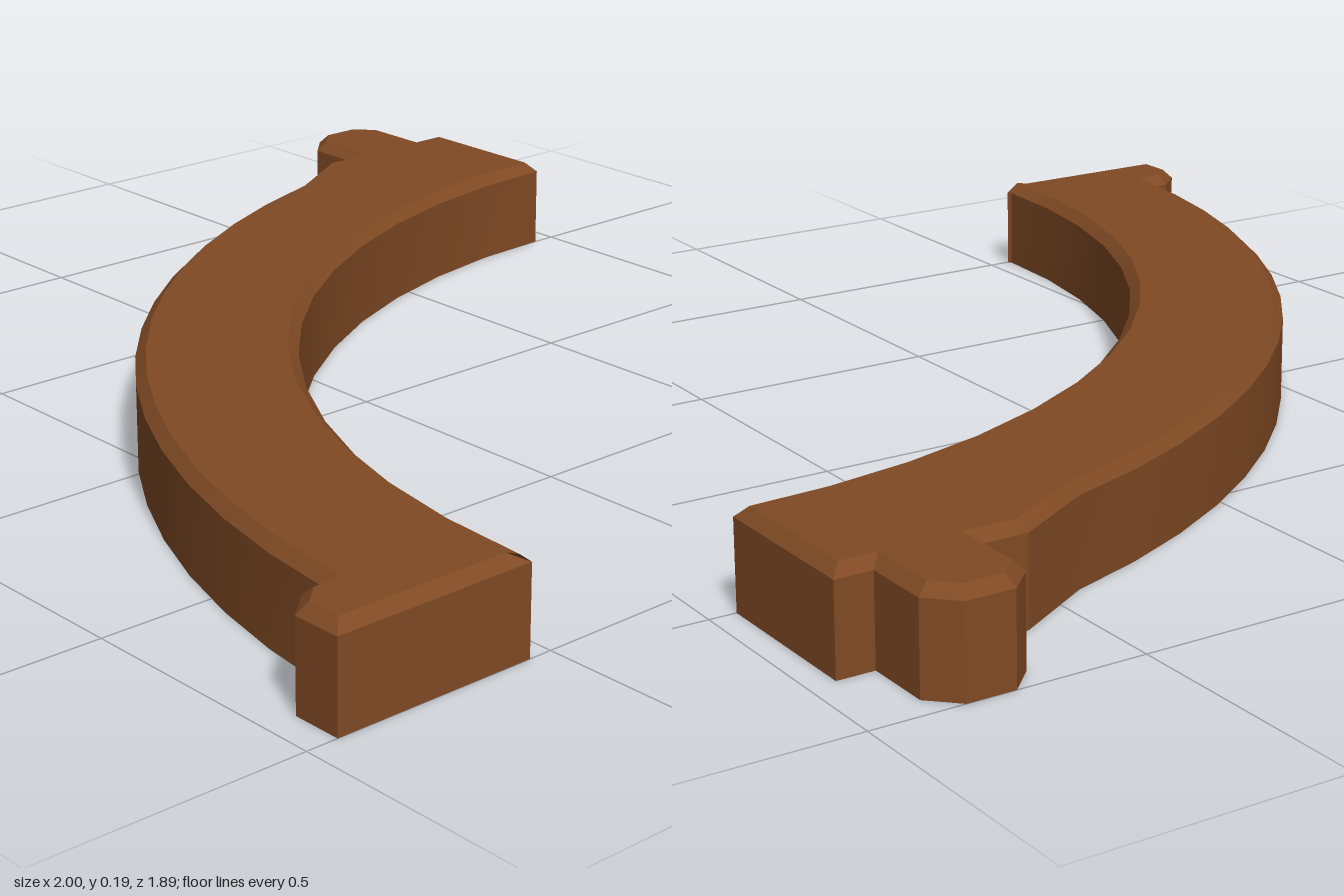
import * as THREE from 'three';
import { toCreasedNormals } from 'three/addons/utils/BufferGeometryUtils.js';

const HEIGHT = 0.185, BEVEL = 0.02;
const CX = 1, CZ = -0.95; // centre of the quarter arc

// Points (x, z) on the arc; angle 0 points to -x, 90 degrees to +z
function arc(radius, from, to, steps) {
  return Array.from({ length: steps + 1 }, (_, i) => {
    const a = from + (to - from) * i / steps;
    return [CX - radius * Math.cos(a), CZ + radius * Math.sin(a)];
  });
}

// Moves every edge of a closed outline inwards by d, with mitred corners
function inset(points, d) {
  const n = points.length;
  const normal = (p, q) => {
    const dx = q[0] - p[0], dz = q[1] - p[1], l = Math.hypot(dx, dz);
    return [-dz / l, dx / l];
  };
  return points.map((p, i) => {
    const a = normal(points[(i + n - 1) % n], p);
    const b = normal(p, points[(i + 1) % n]);
    const k = d / (1 + a[0] * b[0] + a[1] * b[1]);
    return [p[0] + (a[0] + b[0]) * k, p[1] + (a[1] + b[1]) * k];
  });
}

// Hollow shell, open underneath: walls, bevelled rim and top cap
function shellGeometry(outline) {
  const rim = inset(outline, BEVEL);
  const rings = [[outline, 0], [outline, HEIGHT - BEVEL], [rim, HEIGHT]];
  const pos = [];
  const add = (p, y) => pos.push(p[0], y, p[1]);
  for (let r = 0; r < rings.length - 1; r++) {
    const [low, y0] = rings[r], [high, y1] = rings[r + 1];
    for (let i = 0; i < low.length; i++) {
      const j = (i + 1) % low.length;
      add(low[j], y0); add(low[i], y0); add(high[i], y1);
      add(low[j], y0); add(high[i], y1); add(high[j], y1);
    }
  }
  const flat = rim.map(p => new THREE.Vector2(p[0], p[1]));
  for (const [a, b, c] of THREE.ShapeUtils.triangulateShape(flat, [])) {
    const area = (flat[b].x - flat[a].x) * (flat[c].y - flat[a].y)
      - (flat[b].y - flat[a].y) * (flat[c].x - flat[a].x);
    for (const k of area > 0 ? [a, c, b] : [a, b, c]) add(rim[k], HEIGHT);
  }
  const g = new THREE.BufferGeometry();
  g.setAttribute('position', new THREE.Float32BufferAttribute(pos, 3));
  return toCreasedNormals(g, 0.5);
}

export function createModel() {
  const wood = new THREE.MeshStandardMaterial({ color: 0x804a24, side: THREE.DoubleSide });
  wood.name = 'brown';

  const outline = [
    [-0.82, -0.95],
    // concave inner edge
    ...arc(1.5, 0, Math.PI / 2 - 0.005, 14),
    [1, 0.545],
    // small half tab at the right end
    [1, 0.94], [0.905, 0.94], [0.86, 0.89],
    // convex outer edge
    ...arc(1.8, Math.PI / 2 - 0.078, 0.288, 14),
    // shoulder and connector tab
    [-0.82, -0.6], [-0.82, -0.69], [-0.95, -0.69], [-1, -0.74],
    [-1, -0.83], [-0.95, -0.88], [-0.82, -0.88],
  ];

  const track = new THREE.Mesh(shellGeometry(outline), wood);
  track.name = 'curvedTrack';
  const group = new THREE.Group();
  group.name = 'curvedPiece';
  group.add(track);
  return group;
}
